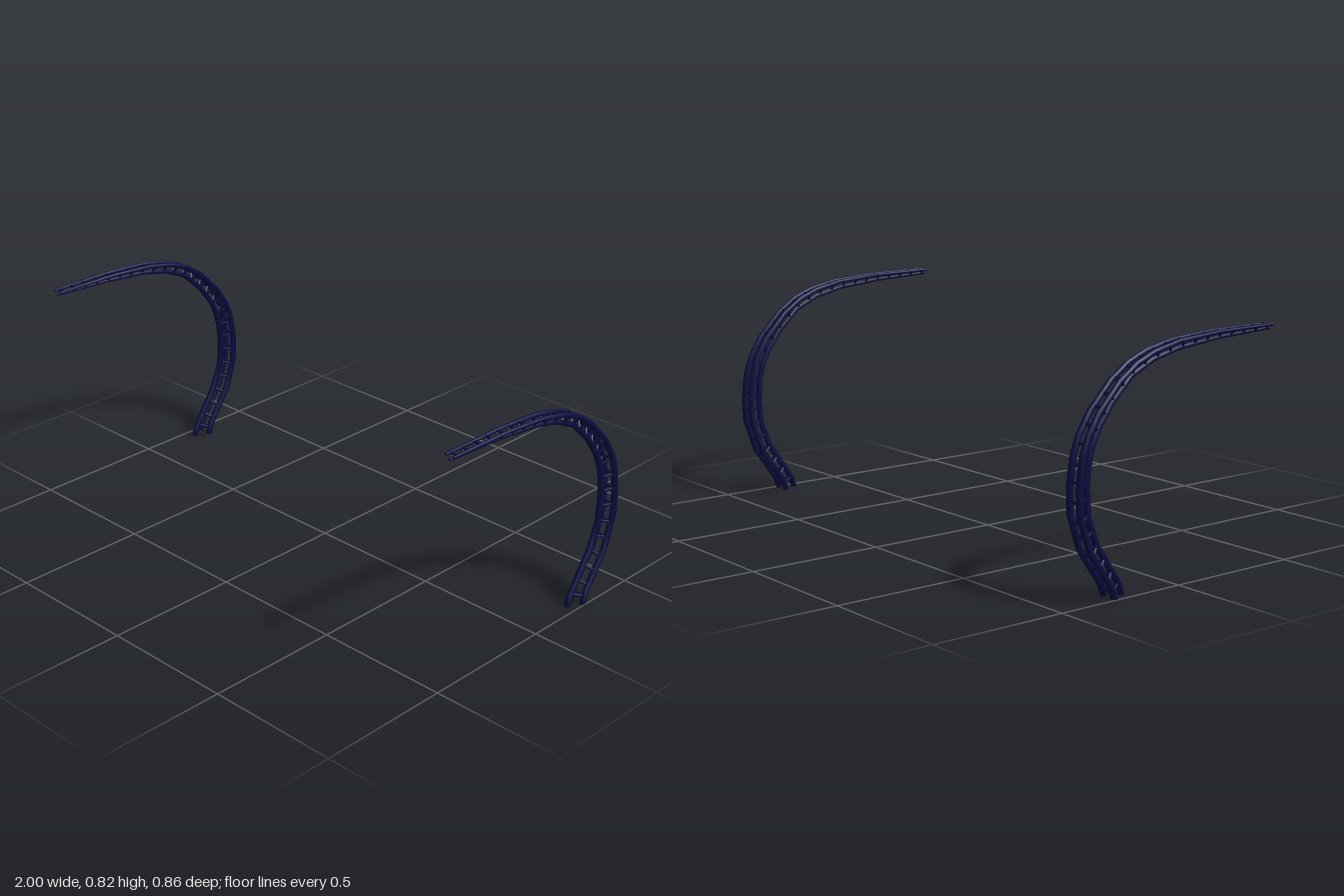
import * as THREE from 'three';

const material = new THREE.MeshStandardMaterial({ color: 0x0b0b3f, side: THREE.DoubleSide });
const SIDES = 8, RUNGS = 26, TRUSS_X = 0.9625, TIP_Z = 0.433;

// Side profiles [z, y] from the forward tip down to the foot
const OUTER = [[0.433, 0.816], [0.178, 0.814], [0.001, 0.801], [-0.108, 0.778], [-0.183, 0.748],
  [-0.255, 0.699], [-0.341, 0.61], [-0.383, 0.543], [-0.406, 0.483], [-0.415, 0.431], [-0.42, 0.376],
  [-0.417, 0.29], [-0.376, 0.171], [-0.285, 0.041], [-0.271, 0]];
const INNER = [[0.433, 0.803], [0.201, 0.794], [0.02, 0.777], [-0.097, 0.751], [-0.19, 0.708],
  [-0.271, 0.631], [-0.322, 0.562], [-0.35, 0.506], [-0.366, 0.448], [-0.372, 0.376],
  [-0.366, 0.28], [-0.327, 0.18], [-0.229, 0.036], [-0.22, 0]];

const railRadius = (u) => THREE.MathUtils.lerp(0.0055, 0.012, Math.min(1, u * 1.5));
const spread = (u) => THREE.MathUtils.lerp(0.016, 0.0255, u);

// Polyline with points given by their fraction of its length
function makePath(profile, side) {
  const pts = profile.map(([z, y]) => new THREE.Vector3(0, y, z));
  const at = [0];
  for (let i = 1; i < pts.length; i++) at.push(at[i - 1] + pts[i].distanceTo(pts[i - 1]));
  const us = at.map((d) => d / at[at.length - 1]);
  pts.forEach((p, i) => { p.x = side * spread(us[i]); });
  const pointAt = (u) => {
    let i = 1;
    while (i < us.length - 1 && us[i] < u) i++;
    return pts[i - 1].clone().lerp(pts[i], (u - us[i - 1]) / (us[i] - us[i - 1]));
  };
  return { pts, us, pointAt };
}

// Tapered round rail, cut flat at the floor and at the tip
function railGeometry({ pts, us }) {
  const pos = [], index = [], last = pts.length - 1;
  pts.forEach((p, i) => {
    const a = pts[Math.max(0, i - 1)], b = pts[Math.min(last, i + 1)];
    const t = b.clone().sub(a).normalize();
    const across = new THREE.Vector3(1, 0, 0).addScaledVector(t, -t.x).normalize();
    const up = new THREE.Vector3().crossVectors(t, across);
    for (let k = 0; k < SIDES; k++) {
      const ang = (k / SIDES) * Math.PI * 2, r = railRadius(us[i]);
      const v = p.clone().addScaledVector(across, r * Math.cos(ang)).addScaledVector(up, r * Math.sin(ang));
      if (i === last) v.y = 0;
      if (i === 0) v.z = TIP_Z;
      pos.push(v.x, v.y, v.z);
    }
  });
  for (let i = 0; i < last; i++) {
    for (let k = 0; k < SIDES; k++) {
      const n = (k + 1) % SIDES, a = i * SIDES + k, b = i * SIDES + n;
      index.push(a, b, a + SIDES, b, b + SIDES, a + SIDES);
    }
  }
  // End caps
  for (let k = 1; k < SIDES - 1; k++) {
    const e = last * SIDES;
    index.push(0, k + 1, k, e, e + k, e + k + 1);
  }
  const g = new THREE.BufferGeometry();
  g.setAttribute('position', new THREE.Float32BufferAttribute(pos, 3));
  g.setIndex(index);
  g.computeVertexNormals();
  return g;
}

function addMesh(group, name, geometry) {
  const mesh = new THREE.Mesh(geometry, material);
  mesh.name = name;
  group.add(mesh);
  return mesh;
}

// Straight round bar between two points
function addBar(group, name, a, b, r) {
  const bar = addMesh(group, name, new THREE.CylinderGeometry(r, r, a.distanceTo(b), 6));
  bar.position.copy(a).add(b).multiplyScalar(0.5);
  bar.quaternion.setFromUnitVectors(new THREE.Vector3(0, 1, 0), b.clone().sub(a).normalize());
}

function nearestU(path, p) {
  let best = 0, bestD = Infinity;
  for (let i = 0; i <= 400; i++) {
    const q = path.pointAt(i / 400), d = Math.hypot(q.y - p.y, q.z - p.z);
    if (d < bestD) { bestD = d; best = i / 400; }
  }
  return best;
}

// Triangular truss: two outer rails, one inner rail and rungs between them
function makeTruss() {
  const truss = new THREE.Group();
  const inner = makePath(INNER, 0), left = makePath(OUTER, 1), right = makePath(OUTER, -1);
  addMesh(truss, 'innerRail', railGeometry(inner));
  addMesh(truss, 'outerRailLeft', railGeometry(left));
  addMesh(truss, 'outerRailRight', railGeometry(right));
  for (let i = 0; i < RUNGS; i++) {
    const u = 0.012 + (0.958 * i) / (RUNGS - 1);
    const p = inner.pointAt(u), v = nearestU(left, p);
    const l = left.pointAt(v), r = right.pointAt(v), radius = 0.0045 + 0.001 * u;
    addBar(truss, 'rungLeft', p, l, radius);
    addBar(truss, 'rungRight', p, r, radius);
    addBar(truss, 'rungBack', l, r, radius);
  }
  return truss;
}

export function createModel() {
  const model = new THREE.Group();
  for (const [name, side] of [['leftTruss', 1], ['rightTruss', -1]]) {
    const truss = makeTruss();
    truss.name = name;
    truss.position.x = side * TRUSS_X;
    model.add(truss);
  }
  return model;
}
